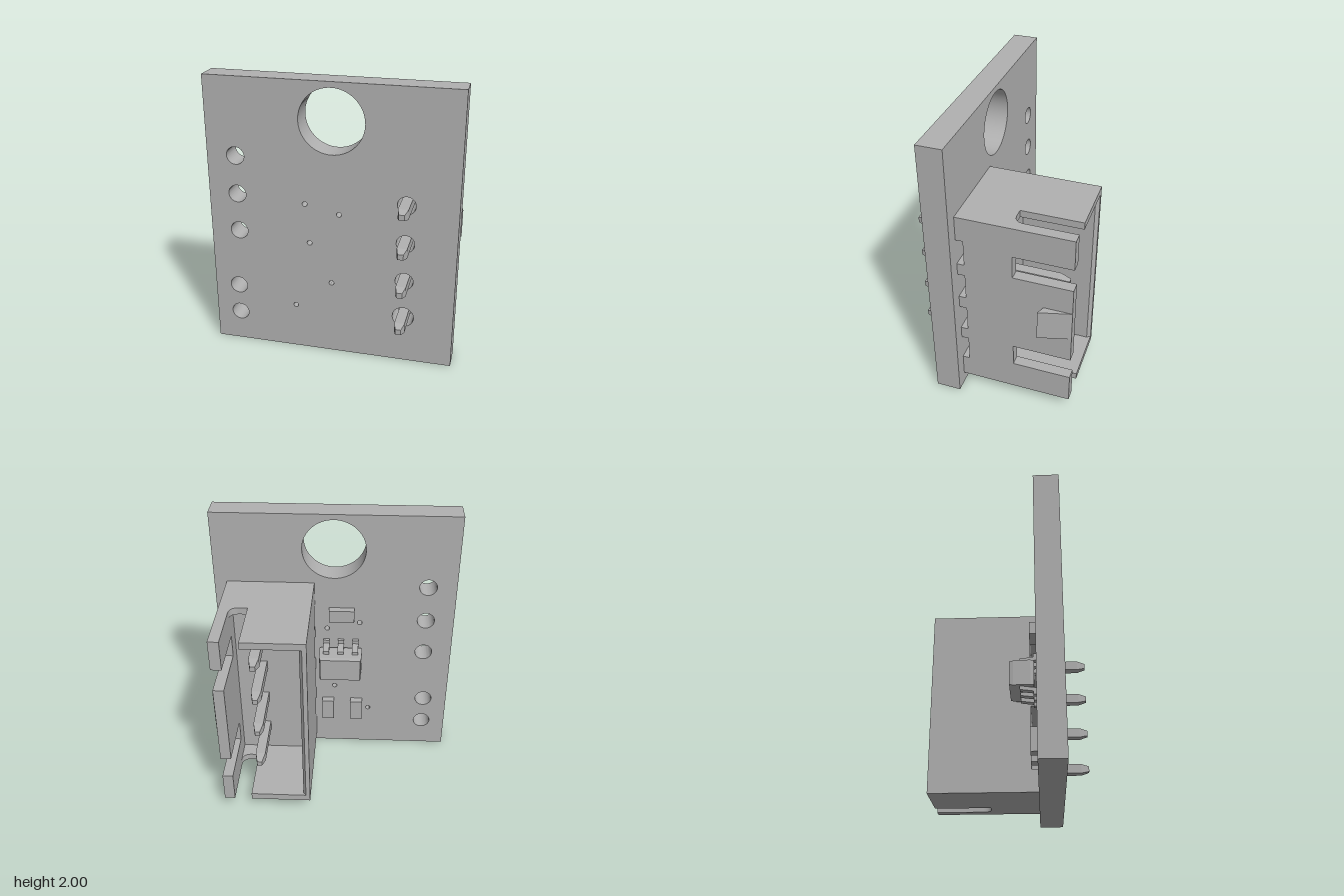
import * as THREE from 'three';
import { toCreasedNormals } from 'three/addons/utils/BufferGeometryUtils.js';

const grey = new THREE.MeshStandardMaterial({ color: 0xb0b0b0 });
grey.name = 'plainGrey';

const BACK = 0.205;            // back face of the board
const THICK = 0.175;           // board thickness
const PIN_X = 0.52;
const PIN_YS = [1.2, 0.92, 0.635, 0.352];

function add(parent, name, geometry) {
  const mesh = new THREE.Mesh(geometry, grey);
  mesh.name = name;
  parent.add(mesh);
  return mesh;
}

// Box given by its limits
function box(parent, name, x0, x1, y0, y1, z0, z1) {
  const m = add(parent, name, new THREE.BoxGeometry(x1 - x0, y1 - y0, z1 - z0));
  m.position.set((x0 + x1) / 2, (y0 + y1) / 2, (z0 + z1) / 2);
  return m;
}

// Prism from a shape drawn in (x, -z), running from y0 to y1
function upright(parent, name, shape, y0, y1) {
  const g = new THREE.ExtrudeGeometry(shape, { depth: y1 - y0, bevelEnabled: false, curveSegments: 10 });
  g.rotateX(-Math.PI / 2).translate(0, y0, 0);
  return add(parent, name, toCreasedNormals(g, 0.5));
}

const polygon = pts => new THREE.Shape(pts.map(p => new THREE.Vector2(p[0], p[1])));

function makeBoard(parent) {
  const shape = polygon([[-0.87, 0], [0.87, 0], [0.87, 2], [-0.87, 2]]);
  const holes = [
    [0.01, 1.735, 0.225],
    // wire holes
    [-0.665, 1.45, 0.063], [-0.665, 1.172, 0.063], [-0.665, 0.894, 0.063],
    [-0.693, 0.45, 0.063], [-0.693, 0.228, 0.063],
    // vias
    [-0.18, 1.142, 0.018], [0.06, 1.087, 0.018], [-0.15, 0.852, 0.018],
    [0.005, 0.556, 0.018], [-0.26, 0.343, 0.018],
    // pin holes
    ...PIN_YS.map((y, i) => [PIN_X, y, i === 3 ? 0.075 : 0.063]),
  ];
  for (const [x, y, r] of holes) {
    const hole = new THREE.Path();
    hole.absarc(x, y, r, 0, Math.PI * 2, true);
    shape.holes.push(hole);
  }
  const g = new THREE.ExtrudeGeometry(shape, { depth: THICK, bevelEnabled: false, curveSegments: 32 });
  g.translate(0, 0, BACK);
  add(parent, 'circuitBoard', toCreasedNormals(g, 0.6));
}

// Square pin, tapered at both ends
function makePin(parent, y) {
  const g = new THREE.BoxGeometry(0.07, 0.07, 1, 1, 1, 3).toNonIndexed();
  const levels = [[-0.49, 0.5], [-0.415, 1], [0.52, 1], [0.58, 0.55]];
  const p = g.attributes.position;
  for (let i = 0; i < p.count; i++) {
    const [z, s] = levels[Math.round((p.getZ(i) + 0.5) * 3)];
    p.setXYZ(i, p.getX(i) * s, p.getY(i) * s, z);
  }
  g.computeVertexNormals();
  add(parent, 'pin', g).position.set(PIN_X, y, 0);
}

function makeConnector(parent) {
  const c = new THREE.Group();
  c.name = 'connector';
  parent.add(c);
  const x0 = 0.15, x1 = 0.78, y0 = 0.085, y1 = 1.47;
  const rim = -0.58, floor = -0.05, wall = 0.05, foot = 0.155;

  box(c, 'floor', x0, x1, y0, y1, floor, foot);

  // Feet between the solder notches
  const edges = [y0];
  for (const y of [...PIN_YS].reverse()) edges.push(y - 0.1, y + 0.092);
  edges.push(y1);
  for (let i = 0; i < edges.length; i += 2) box(c, 'foot', x0, x1, edges[i], edges[i + 1], foot, BACK);

  // End walls with the rounded slot
  const end = new THREE.Shape();
  end.moveTo(x0, -floor);
  end.lineTo(x1, -floor);
  end.lineTo(x1, -rim);
  end.lineTo(0.705, -rim);
  end.lineTo(0.705, 0.23);
  end.quadraticCurveTo(0.705, 0.16, 0.635, 0.16);
  end.lineTo(0.58, 0.16);
  end.lineTo(0.58, -rim);
  end.lineTo(x0, -rim);
  upright(c, 'endWall', end, y0, y0 + wall);
  upright(c, 'endWall', end, y1 - wall, y1);

  // Plain wall with a chamfered lip
  const plain = polygon([[x0, -floor], [x0 + wall, -floor], [x0 + wall, 0.555], [x0 + 0.03, -rim], [x0, -rim]]);
  upright(c, 'plainWall', plain, y0, y1);

  // Latch wall, split by two slots
  box(c, 'latchWallBase', 0.705, x1, y0, y1, -0.175, floor);
  for (const [a, b] of [[y0, 0.305], [0.472, 1.082], [1.25, y1]]) {
    box(c, 'latchWallTab', 0.705, x1, a, b, rim, -0.175);
  }
  upright(c, 'latch', polygon([[x1, 0.385], [0.838, 0.36], [x1, -rim]]), 0.668, 0.89);

  for (const y of PIN_YS) makePin(c, y);
}

// Six-legged chip
function makeChip(parent) {
  const chip = new THREE.Group();
  chip.name = 'chip';
  chip.position.set(-0.043, 0.84, BACK);
  parent.add(chip);

  const g = new THREE.BoxGeometry(0.32, 0.19, 1, 1, 1, 3).toNonIndexed();
  const levels = [[-0.193, 0.92], [-0.165, 0.97], [-0.045, 1], [-0.02, 0.93]];
  const p = g.attributes.position;
  for (let i = 0; i < p.count; i++) {
    const [z, s] = levels[Math.round((p.getZ(i) + 0.5) * 3)];
    p.setXYZ(i, p.getX(i) * s, p.getY(i) * s, z);
  }
  g.computeVertexNormals();
  add(chip, 'chipBody', g);

  const profile = polygon([[0.08, 0.09], [0.095, 0.09], [0.105, 0], [0.155, 0],
    [0.155, 0.025], [0.13, 0.025], [0.117, 0.12], [0.08, 0.12]]);
  const leg = new THREE.ExtrudeGeometry(profile, { depth: 0.045, bevelEnabled: false });
  leg.translate(0, 0, -0.0225);
  leg.applyMatrix4(new THREE.Matrix4().makeBasis(
    new THREE.Vector3(0, 1, 0), new THREE.Vector3(0, 0, -1), new THREE.Vector3(-1, 0, 0)));
  for (const turn of [0, Math.PI]) {
    const row = new THREE.Group();
    row.name = 'legRow';
    row.rotation.z = turn;
    chip.add(row);
    for (const x of [-0.108, 0, 0.108]) add(row, 'chipLeg', leg).position.x = x;
  }
}

export function createModel() {
  const model = new THREE.Group();
  model.name = 'connectorBoard';
  makeBoard(model);
  makeConnector(model);
  makeChip(model);

  // Small surface parts
  const z = 0.153;
  box(model, 'upperResistor', -0.14, 0.045, 1.172, 1.267, z, BACK);
  box(model, 'lowerResistor', 0.01, 0.1, 0.262, 0.435, z, BACK);
  box(model, 'lowerResistor', -0.212, -0.12, 0.262, 0.435, z, BACK);
  return model;
}
